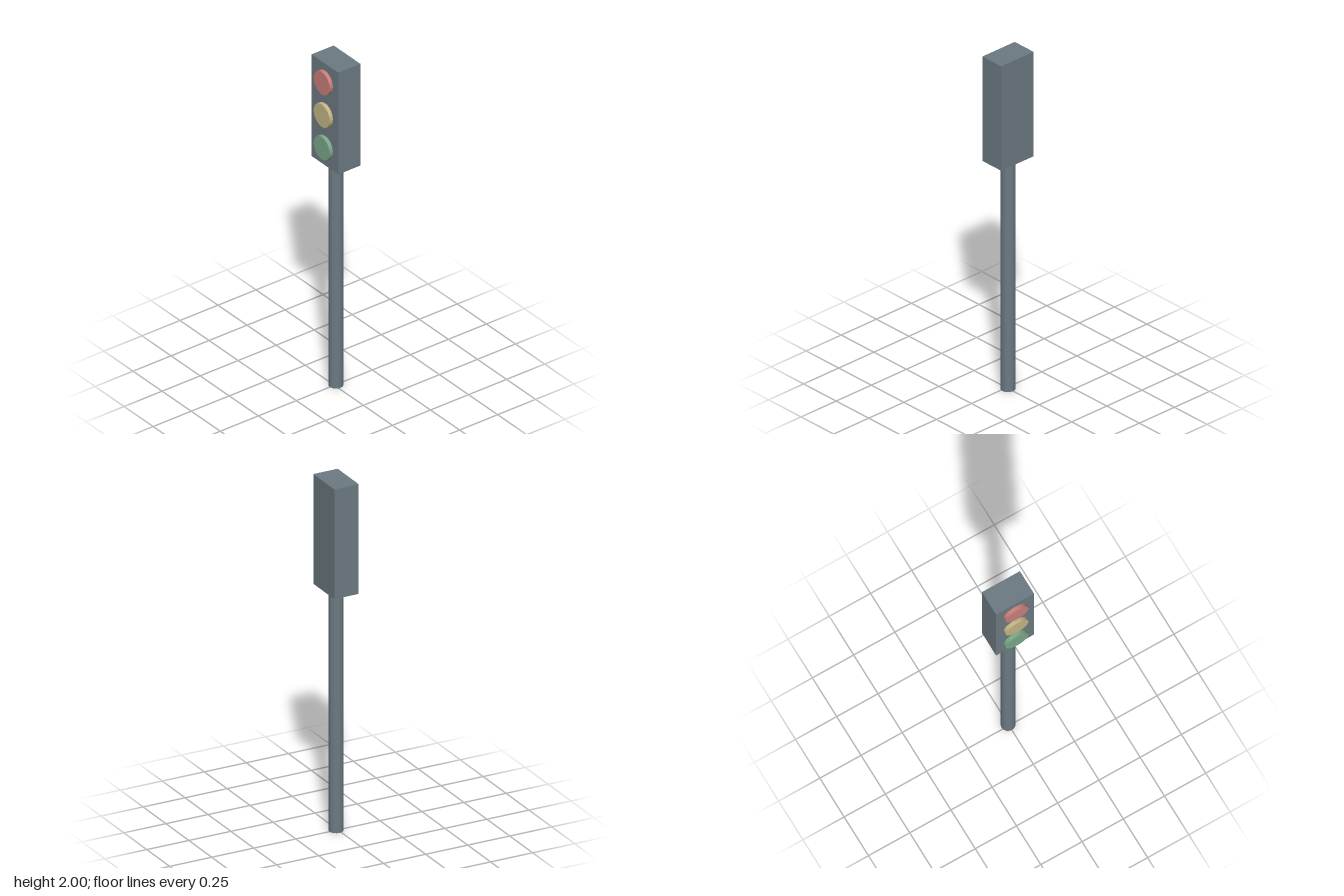
import * as THREE from 'three';

const material = (name, color) => {
  const m = new THREE.MeshStandardMaterial({ color, flatShading: true });
  m.name = name;
  return m;
};

export function createModel() {
  const group = new THREE.Group();
  group.name = 'trafficLight';
  const grey = material('slate grey', 0x6c7a82);

  const add = (name, geometry, mat, x, y, z) => {
    const mesh = new THREE.Mesh(geometry, mat);
    mesh.name = name;
    mesh.position.set(x, y, z);
    group.add(mesh);
  };

  // Post and signal housing
  const axisZ = -0.011;
  add('post', new THREE.CylinderGeometry(0.04, 0.04, 1.375, 16), grey, 0, 0.6875, axisZ);
  add('housing', new THREE.BoxGeometry(0.23, 0.625, 0.145), grey, 0, 1.6875, axisZ);

  // Three round lenses standing out from the front face
  const lens = new THREE.CylinderGeometry(0.069, 0.069, 0.022, 20).rotateX(Math.PI / 2);
  [
    ['redLens', material('signal red', 0xc8807a), 1.888],
    ['yellowLens', material('signal yellow', 0xc5b686), 1.688],
    ['greenLens', material('signal green', 0x7aa88a), 1.488],
  ].forEach(([name, mat, y]) => add(name, lens, mat, 0, y, 0.0725));

  return group;
}
